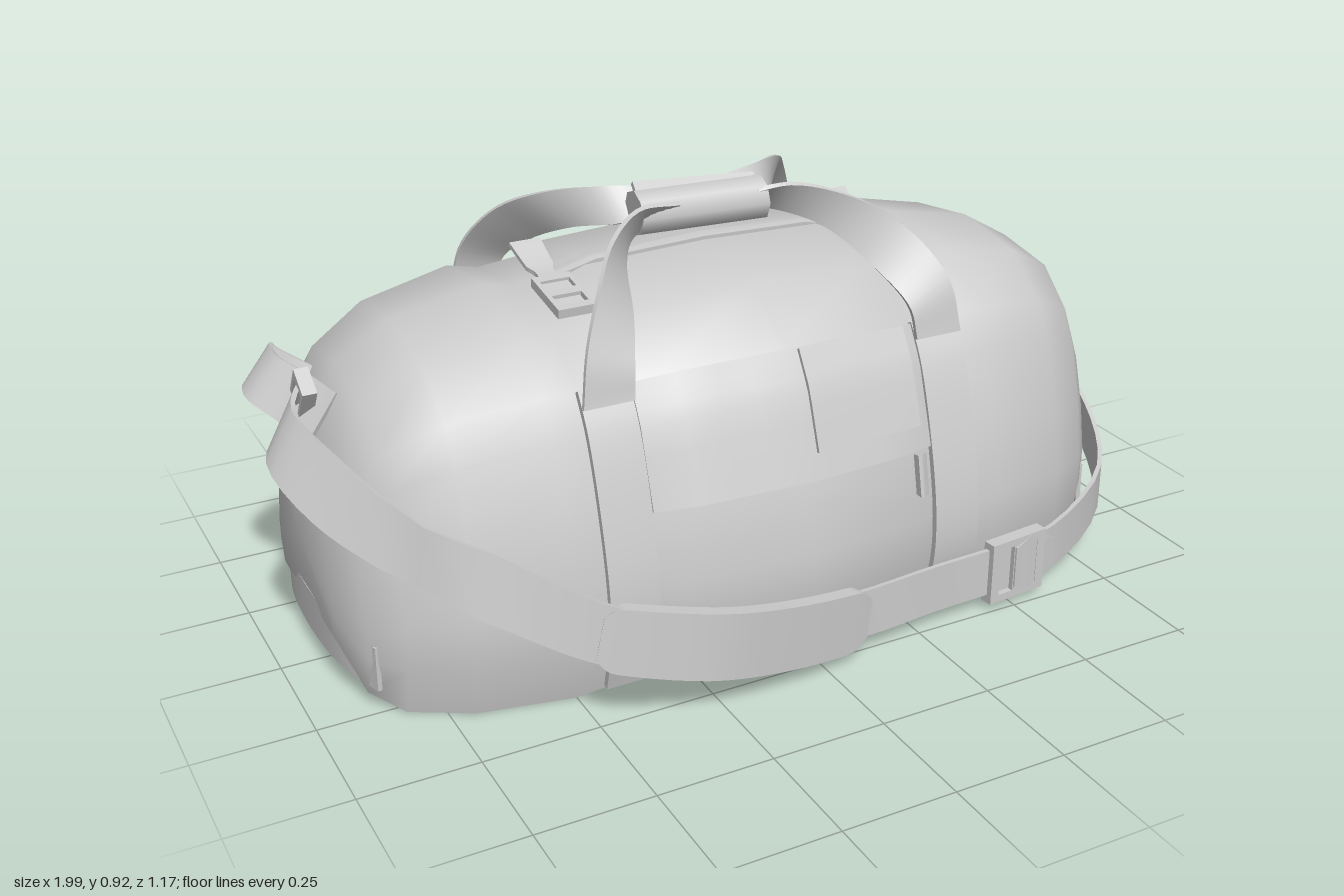
import * as THREE from 'three';
import { toCreasedNormals } from 'three/addons/utils/BufferGeometryUtils.js';

const material = new THREE.MeshStandardMaterial({ color: 0xcccccc, side: THREE.DoubleSide });

// Cross-section of the bag [z, y], from the front bottom edge over the top to the back
const PROFILE = [
  [0.44, 0], [0.475, 0.13], [0.475, 0.24], [0.44, 0.4], [0.38, 0.57], [0.33, 0.65], [0.2, 0.745], [-0.04, 0.775],
  [-0.28, 0.745], [-0.42, 0.65], [-0.46, 0.57], [-0.53, 0.4], [-0.575, 0.24], [-0.58, 0.13], [-0.54, 0],
];
// Stations along the bag: [x, depth factor, bottom, top]
const HALF = [
  [0, 1, 0, 0.775], [0.28, 0.95, 0, 0.765], [0.33, 0.88, 0, 0.745], [0.43, 0.87, 0, 0.735], [0.5, 0.885, 0, 0.75],
  [0.7, 0.8, 0, 0.71], [0.82, 0.66, 0, 0.64], [0.88, 0.54, 0.03, 0.53], [0.915, 0.36, 0.12, 0.42], [0.925, 0, 0.28, 0.28],
];
const STATIONS = [...HALF.slice(1).reverse().map(([x, ...r]) => [-x, ...r]), ...HALF];
const CENTRE = -0.05;

function sample(list, k) {
  const i = Math.min(Math.floor(k), list.length - 2);
  return list[i].map((v, n) => v + (list[i + 1][n] - v) * (k - i));
}

// Point on the bag at x and profile position u, lifted outwards by off
function onBag(x, u, off = 0) {
  let i = 0;
  while (i < HALF.length - 2 && HALF[i + 1][0] < Math.abs(x)) i++;
  const [, d, y0, h] = sample(HALF, i + (Math.abs(x) - HALF[i][0]) / (HALF[i + 1][0] - HALF[i][0]));
  const [z, y] = sample(PROFILE, u);
  const p = new THREE.Vector3(x, y0 + (y / 0.775) * (h - y0), CENTRE + (z - CENTRE) * d);
  const out = new THREE.Vector3(0, Math.max(p.y - 0.3, 0), p.z - CENTRE).normalize();
  return p.addScaledVector(out, off);
}

// Surface through rows of points; rings may be closed
function loft(rows, closed, crease) {
  const n = rows[0].length, index = [];
  for (let i = 0; i < rows.length - 1; i++) {
    for (let j = 0; j < (closed ? n : n - 1); j++) {
      const k = (j + 1) % n, a = i * n, b = a + n;
      index.push(a + j, b + j, b + k, a + j, b + k, a + k);
    }
  }
  if (closed) {
    const e = (rows.length - 1) * n;
    for (let j = 1; j < n - 1; j++) index.push(0, j, j + 1, e, e + j + 1, e + j);
  }
  const g = new THREE.BufferGeometry().setFromPoints(rows.flat());
  g.setIndex(index);
  return toCreasedNormals(g, crease);
}

// Flat webbing: each key is [x, y, z, half-width vector x, y, z]
function webbing(keys, thick = 0.01, steps = 28) {
  const path = new THREE.CatmullRomCurve3(keys.map(k => new THREE.Vector3(k[0], k[1], k[2])));
  const wide = new THREE.CatmullRomCurve3(keys.map(k => new THREE.Vector3(k[3], k[4], k[5])));
  const rows = [];
  for (let i = 0; i <= steps; i++) {
    const t = i / steps, p = path.getPoint(t), w = wide.getPoint(t);
    const n = path.getTangent(t).cross(w).normalize().multiplyScalar(thick / 2);
    rows.push([[-1, -1], [1, -1], [1, 1], [-1, 1]].map(([a, b]) =>
      p.clone().addScaledVector(w, a).addScaledVector(n, b)));
  }
  return loft(rows, true, 0.7);
}

// Cloth panel lying on the bag, with its border folded down to the surface
function panel(x0, x1, u0, u1, off) {
  const rows = [], nx = 10, nu = 8;
  for (let i = 0; i <= nx; i++) {
    const row = [];
    for (let j = 0; j <= nu; j++) {
      const edge = i === 0 || j === 0 || i === nx || j === nu;
      const a = THREE.MathUtils.clamp((i - 1) / (nx - 2), 0, 1), b = THREE.MathUtils.clamp((j - 1) / (nu - 2), 0, 1);
      row.push(onBag(x0 + (x1 - x0) * a, u0 + (u1 - u0) * b, edge ? 0 : off));
    }
    rows.push(row);
  }
  return loft(rows, false, 0.6);
}

// Slotted buckle facing +z
function buckleGeometry(w, h, depth) {
  const rect = (S, cx, rw, rh) => new S([[-1, -1], [1, -1], [1, 1], [-1, 1]].map(([a, b]) =>
    new THREE.Vector2(cx + a * rw / 2, b * rh / 2)));
  const shape = rect(THREE.Shape, 0, w, h);
  for (const s of [-1, 1]) shape.holes.push(rect(THREE.Path, s * w * 0.22, w * 0.26, h * 0.76));
  return new THREE.ExtrudeGeometry(shape, { depth, bevelEnabled: false }).translate(0, 0, -depth / 2);
}

export function createModel() {
  const bag = new THREE.Group();
  bag.name = 'duffelBag';
  const add = (name, geometry, pos = [0, 0, 0], rot = [0, 0, 0]) => {
    const m = new THREE.Mesh(geometry, material);
    m.name = name;
    m.position.set(...pos);
    m.rotation.set(...rot);
    bag.add(m);
    return m;
  };

  // Main body with a flat base
  add('body', loft(STATIONS.map(s => PROFILE.map((_, u) => onBag(s[0], u))), true, 1.0));

  // Pocket flaps, label patch and pull tab
  add('frontFlap', panel(-0.33, 0.32, 3, 4.9, 0.02));
  add('backFlap', panel(-0.33, 0.32, 9.1, 11, 0.02));
  add('frontPatch', panel(0.02, 0.28, 3.3, 4.85, 0.028));
  add('backPatch', panel(0.03, 0.28, 9.2, 10.7, 0.028));
  add('pullTab', panel(0.27, 0.3, 2.4, 2.95, 0.018));

  // Top zip
  add('zip', panel(-0.34, 0.34, 6.9, 7.1, 0.008));

  for (const s of [-1, 1]) {
    // Carry straps sewn to the body, then rising to the grip
    for (const [name, us] of [['frontStrap', [0.1, 1, 2, 3, 4, 5]], ['backStrap', [13.9, 13, 12, 11, 10, 9]]]) {
      add(name, webbing(us.map(u => [...onBag(s * 0.385, u, 0.012).toArray(), s * 0.055, 0, 0]), 0.014));
    }
    const rise = [
      [0.385, 0.6, 0.32, 0.055, 0, 0], [0.37, 0.69, 0.3, 0.05, 0.02, 0], [0.325, 0.77, 0.23, 0.04, 0.035, 0.01],
      [0.265, 0.83, 0.12, 0.025, 0.035, 0.025], [0.18, 0.855, 0.03, 0.005, 0.035, 0.025], [0.08, 0.86, 0, 0, 0.02, 0.03],
    ];
    add('frontHandle', webbing(rise.map(([x, y, z, a, b, c]) => [s * x, y, z, s * a, b, c])));
    add('backHandle', webbing(rise.map(([x, y, z, a, b, c]) => [s * x, y, -0.06 - z * 1.08, s * a, b, -c])));

    // Compression clips on the top
    add('topClip', buckleGeometry(0.14, 0.085, 0.02), [s * 0.37, 0.745, 0.08], [-Math.PI / 2 + 0.16, 0, Math.PI / 2]);
    add('topClipStrap', webbing([
      [s * 0.37, 0.73, 0.14, 0.03, 0, 0], [s * 0.37, 0.75, 0.04, 0.03, 0, 0],
      [s * 0.37, 0.765, -0.04, 0.03, 0, 0], [s * 0.375, 0.8, -0.11, 0.035, 0, 0]]));

    // Reinforcement on each end
    add('endPatch', webbing([
      [s * 0.865, 0.1, 0.25, 0, 0.05, 0], [s * 0.905, 0.1, 0.1, 0, 0.05, 0],
      [s * 0.905, 0.1, -0.2, 0, 0.05, 0], [s * 0.865, 0.1, -0.35, 0, 0.05, 0]]));
  }

  // Grip wrapped around both handles
  const grip = add('grip', new THREE.CylinderGeometry(0.052, 0.052, 0.29, 8), [-0.015, 0.853, -0.015], [0, -0.08, Math.PI / 2]);
  grip.scale.set(0.95, 1, 1.05);
  add('gripFlap', new THREE.BoxGeometry(0.28, 0.012, 0.06), [-0.015, 0.885, -0.02], [0.7, -0.08, 0]);

  // Shoulder strap slung across the front
  add('shoulderStrap', webbing([
    [-0.9, 0.57, -0.06, 0.02, 0.05, 0], [-0.965, 0.55, 0.06, 0.03, 0.05, 0], [-0.925, 0.49, 0.2, 0.03, 0.06, 0],
    [-0.84, 0.42, 0.32, 0.02, 0.06, 0], [-0.64, 0.3, 0.455, 0.02, 0.06, 0], [-0.47, 0.21, 0.525, 0.015, 0.06, 0],
    [-0.28, 0.16, 0.565, 0.01, 0.055, 0], [0.08, 0.1, 0.515, 0, 0.055, 0], [0.3, 0.09, 0.485, 0, 0.055, 0],
    [0.5, 0.09, 0.475, 0, 0.055, 0], [0.63, 0.09, 0.45, 0, 0.055, 0], [0.87, 0.12, 0.31, 0, 0.055, 0],
    [0.97, 0.18, 0.13, 0, 0.055, 0], [0.985, 0.215, 0.02, 0, 0.055, 0], [0.93, 0.22, -0.08, 0, 0.055, 0],
  ], 0.01, 56));
  add('shoulderPad', webbing([
    [-0.5, 0.215, 0.51, 0.01, 0.045, 0], [-0.47, 0.208, 0.525, 0.014, 0.068, 0], [-0.28, 0.165, 0.57, 0.014, 0.072, 0],
    [-0.1, 0.125, 0.555, 0.012, 0.072, 0], [0.06, 0.098, 0.525, 0.01, 0.07, 0], [0.1, 0.094, 0.515, 0.005, 0.045, 0],
  ], 0.03));
  add('strapAdjuster', buckleGeometry(0.15, 0.145, 0.03), [0.51, 0.088, 0.475], [0, 0.1, 0]);
  add('adjusterTail', webbing([
    [0.5, 0.09, 0.49, 0, 0.05, 0], [0.58, 0.09, 0.475, 0, 0.05, 0], [0.625, 0.09, 0.462, 0, 0.03, 0]]));

  // End buckles with their free webbing tails
  add('leftEndBuckle', buckleGeometry(0.065, 0.15, 0.03), [0.935, 0.22, -0.09], [0, Math.PI / 2, 0]);
  add('leftEndTail', webbing([
    [0.91, 0.22, 0.01, 0, 0.06, 0], [0.935, 0.22, -0.09, 0, 0.055, 0], [0.985, 0.21, -0.18, 0, 0.055, 0],
    [0.98, 0.2, -0.235, 0, 0.055, 0], [0.91, 0.2, -0.16, 0, 0.055, 0]]));
  add('rightEndBuckle', buckleGeometry(0.065, 0.15, 0.03), [-0.89, 0.565, -0.05], [0, -Math.PI / 2, -0.6]);
  add('rightEndTail', webbing([
    [-0.87, 0.55, 0.02, 0.035, 0.05, 0], [-0.9, 0.57, -0.06, 0.035, 0.045, 0], [-0.94, 0.59, -0.15, 0.035, 0.04, 0],
    [-0.925, 0.59, -0.22, 0.03, 0.04, 0], [-0.86, 0.55, -0.15, 0.03, 0.04, 0]]));
  return bag;
}
